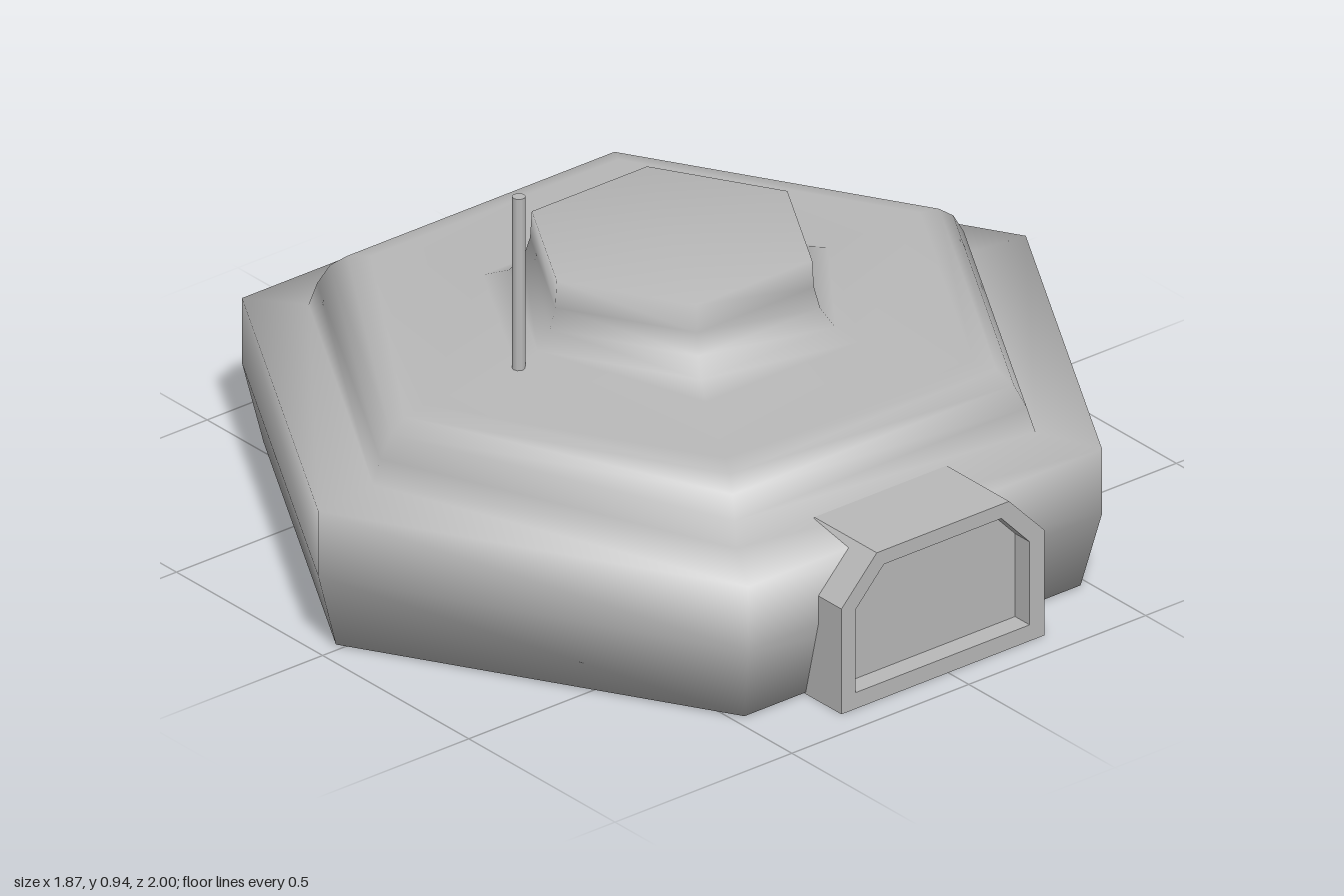
import * as THREE from 'three';

const X = -0.015; // axis of the hexagonal hull

export function createModel() {
  const group = new THREE.Group();
  const grey = new THREE.MeshStandardMaterial({ color: 0xb8b8b8 });
  grey.name = 'plain grey';

  const add = (name, geometry, x = 0, y = 0, z = 0) => {
    const mesh = new THREE.Mesh(geometry, grey);
    mesh.name = name;
    mesh.position.set(x, y, z);
    group.add(mesh);
    return mesh;
  };

  // Hexagonal hull, stepped roof and turret in one softly shaded profile
  const profile = [
    [0, 0.004], [0.95, 0.004], [1, 0.19], [1, 0.35], [0.845, 0.363],
    [0.825, 0.42], [0.795, 0.47], [0.755, 0.5], [0.7, 0.51], [0.44, 0.512],
    [0.38, 0.535], [0.345, 0.575], [0.33, 0.625], [0.326, 0.69], [0, 0.69],
  ].map(([r, y]) => new THREE.Vector2(r, y));
  add('hull', new THREE.LatheGeometry(profile, 6), X);

  // Entrance: chamfered block through the side wall, with a raised rim
  const trace = (path, left, right, bottom, chamferY, top, inset) => {
    const points = [
      [left, bottom], [right, bottom], [right, chamferY],
      [right - inset, top], [left + inset, top], [left, chamferY],
    ];
    return path.setFromPoints(points.map(([u, v]) => new THREE.Vector2(u, v)));
  };
  const outline = () => trace(new THREE.Shape(), -0.302, 0.272, 0, 0.26, 0.365, 0.1);
  const opening = trace(new THREE.Path(), -0.262, 0.23, 0.04, 0.245, 0.33, 0.08);
  const extrudeX = (shape, depth) =>
    new THREE.ExtrudeGeometry(shape, { depth, bevelEnabled: false }).rotateY(Math.PI / 2);

  add('entranceBlock', extrudeX(outline(), 0.6), 0.28);
  const rim = outline();
  rim.holes.push(opening);
  add('entranceRim', extrudeX(rim, 0.05), 0.88);

  // Long box on the opposite wall
  add('sideBox', new THREE.BoxGeometry(0.135, 0.138, 0.875), -0.8675, 0.229, -0.003);

  // Mast on the roof
  add('mast', new THREE.CylinderGeometry(0.015, 0.015, 0.435, 10), X, 0.7175, 0.433);

  return group;
}
